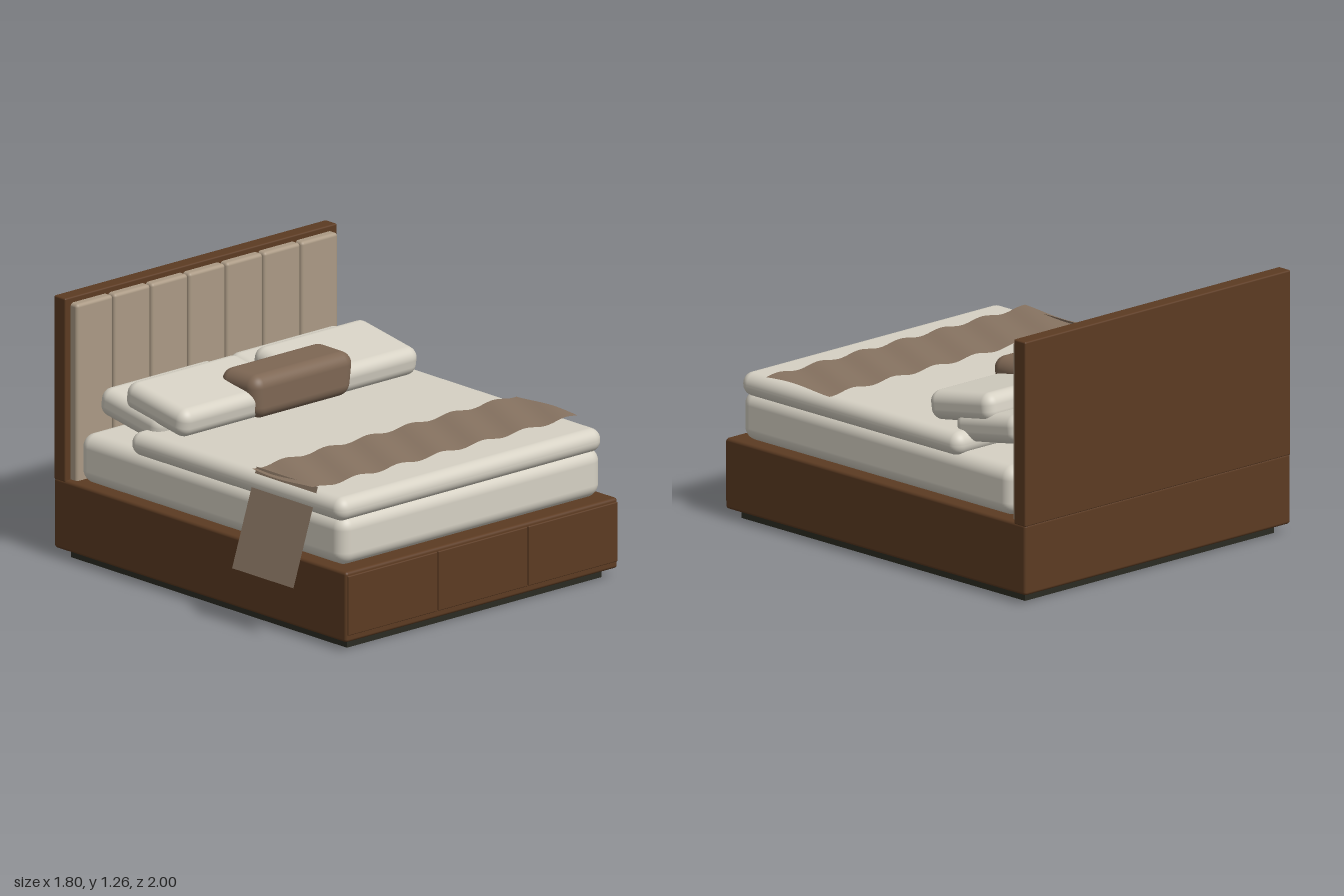
import * as THREE from 'three';
import { RoundedBoxGeometry } from 'three/addons/geometries/RoundedBoxGeometry.js';

const CX = 0.044; // centre line of the bed; the hanging throw widens the right side

function material(name, color, side = THREE.FrontSide) {
  const m = new THREE.MeshStandardMaterial({ color, side });
  m.name = name;
  return m;
}

export function createModel() {
  const wood = material('walnut wood', 0x5c3b22);
  const dark = material('dark plinth', 0x2b2b22);
  const upholstery = material('beige upholstery', 0xab9a85);
  const linen = material('cream linen', 0xd6d1c4);
  const accent = material('brown cushion fabric', 0x7e6754);
  const throwCloth = material('brown throw fabric', 0x877361, THREE.DoubleSide);

  const bed = new THREE.Group();
  bed.name = 'bed';

  function add(name, geometry, mat, x = 0, y = 0, z = 0) {
    const mesh = new THREE.Mesh(geometry, mat);
    mesh.name = name;
    mesh.position.set(x, y, z);
    bed.add(mesh);
    return mesh;
  }

  // rounded block given by its extents in y and z, centred on the bed
  function block(name, mat, width, y0, y1, z0, z1, radius, x = CX, segments = 4) {
    const g = new RoundedBoxGeometry(width, y1 - y0, z1 - z0, segments, radius);
    return add(name, g, mat, x, (y0 + y1) / 2, (z0 + z1) / 2);
  }

  // base
  add('plinth', new THREE.BoxGeometry(1.595, 0.06, 1.88), dark, CX, 0.03, -0.003);
  block('frame', wood, 1.702, 0.045, 0.385, -1, 0.99, 0.015);
  for (let i = -1; i <= 1; i++) {
    block('drawerFront', wood, 0.557, 0.08, 0.368, 0.97, 0.998, 0.005, CX + i * 0.564, 2);
  }

  // headboard with seven padded channels
  block('headboard', wood, 1.702, 0.375, 1.264, -1, -0.922, 0.008);
  for (let i = -3; i <= 3; i++) {
    block('headboardPanel', upholstery, 0.228, 0.37, 1.237, -0.95, -0.878, 0.016, CX + i * 0.2345);
  }

  // bedding
  block('mattress', linen, 1.635, 0.382, 0.62, -0.875, 0.93, 0.065, CX, 6);
  block('duvet', linen, 1.654, 0.597, 0.711, -0.525, 0.928, 0.055, CX, 6);

  // two stacked pillows on each side, propped up towards the headboard
  for (const side of [-1, 1]) {
    const x = CX + side * 0.398;
    const back = block('backPillow', linen, 0.692, 0.672, 0.812, -0.826, -0.406, 0.055, x, 6);
    const front = block('frontPillow', linen, 0.692, 0.74, 0.88, -0.652, -0.232, 0.055, x, 6);
    back.rotation.x = front.rotation.x = 0.165;
  }

  // accent cushion, narrowing towards its lower edge
  const cushion = block('accentCushion', accent, 0.635, 0.715, 0.926, -0.468, -0.21, 0.06, CX, 6);
  const p = cushion.geometry.attributes.position;
  for (let i = 0; i < p.count; i++) {
    const drop = THREE.MathUtils.clamp((0.04 - p.getY(i)) / 0.14, 0, 1);
    p.setX(i, p.getX(i) * (1 - 0.06 * drop));
  }
  cushion.geometry.computeBoundingSphere();

  // throw lying across the foot of the bed with diagonal ripples
  const sheet = new THREE.PlaneGeometry(1.658, 0.418, 96, 12);
  sheet.rotateX(-Math.PI / 2);
  const s = sheet.attributes.position;
  for (let i = 0; i < s.count; i++) {
    s.setY(i, 0.008 * Math.sin(24 * (s.getX(i) + 0.45 * s.getZ(i))));
  }
  sheet.computeVertexNormals();
  add('throw', sheet, throwCloth, 0.048, 0.727, 0.527);

  // end of the throw hanging over the right side
  const top = new THREE.Vector2(-0.75, 0.73);
  const bottom = new THREE.Vector2(-0.903, 0.272);
  const hang = new THREE.PlaneGeometry(top.distanceTo(bottom), 0.418);
  hang.rotateX(-Math.PI / 2);
  const flap = add('throwHangingEnd', hang, throwCloth,
    (top.x + bottom.x) / 2, (top.y + bottom.y) / 2, 0.527);
  flap.rotation.z = Math.atan2(top.y - bottom.y, top.x - bottom.x);

  return bed;
}
